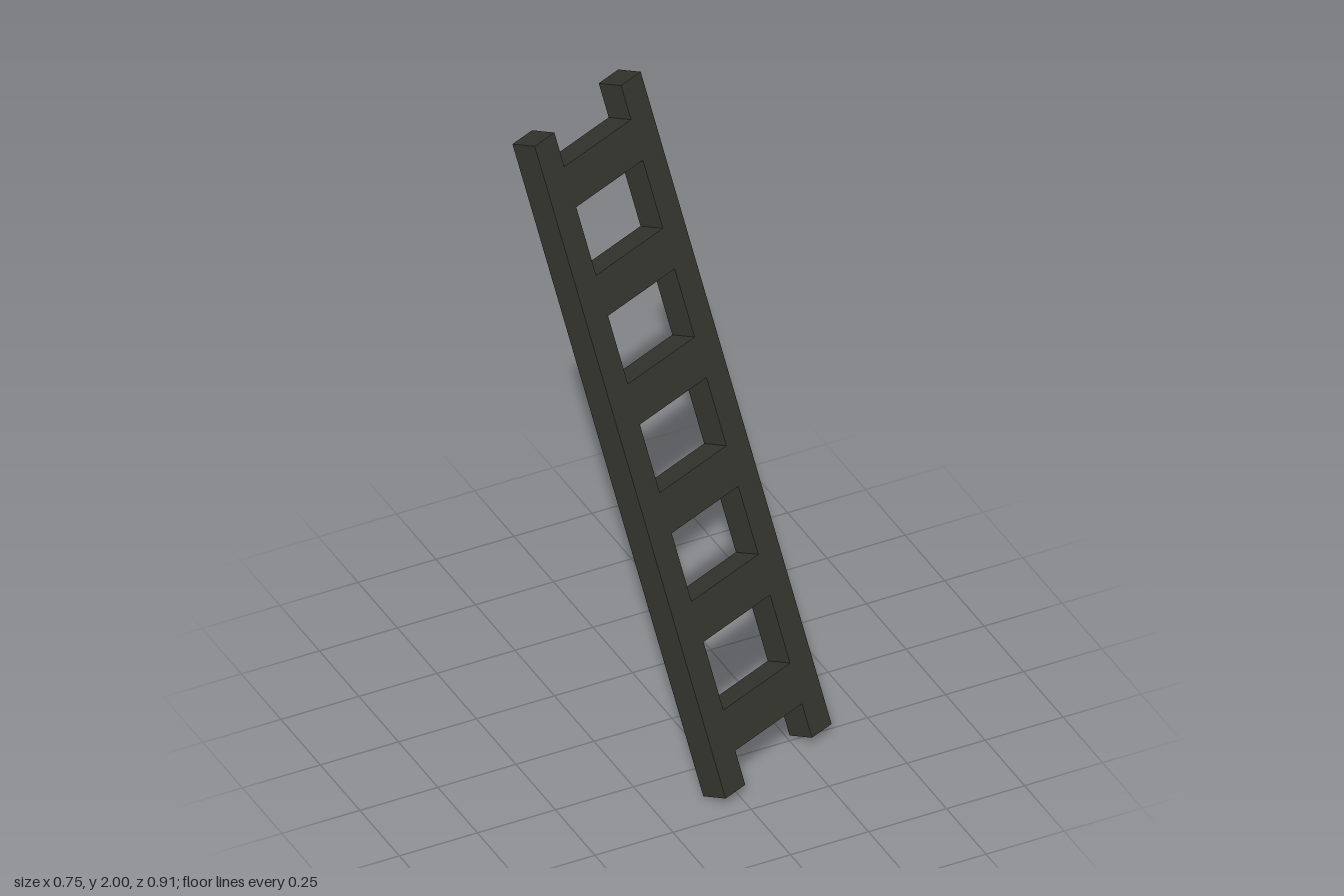
import * as THREE from 'three';

export function createModel() {
  const model = new THREE.Group();
  model.name = 'leaningLadder';

  const material = new THREE.MeshStandardMaterial({ color: 0x35352f, flatShading: true });
  const length = 2.094, width = 0.475, rail = 0.088;
  const rungHeight = 0.13, rungGap = 0.349, rungCount = 6;

  const ladder = new THREE.Group();
  ladder.name = 'ladder';

  const addBox = (name, w, h, x, y) => {
    const mesh = new THREE.Mesh(new THREE.BoxGeometry(w, h, rail), material);
    mesh.name = name;
    mesh.position.set(x, y, 0);
    ladder.add(mesh);
  };

  // Two square side rails
  const railX = (width - rail) / 2;
  addBox('leftRail', rail, length, railX, 0);
  addBox('rightRail', rail, length, -railX, 0);

  // Wide flat rungs, flush with the rails
  for (let i = 0; i < rungCount; i++) {
    addBox(`rung${i + 1}`, width - 2 * rail, rungHeight, 0, (i - (rungCount - 1) / 2) * rungGap);
  }

  // Lean the ladder back, then turn it about the vertical
  ladder.rotation.set(-0.345, 0.411, 0, 'YXZ');
  ladder.position.y = 1;
  model.add(ladder);
  return model;
}
